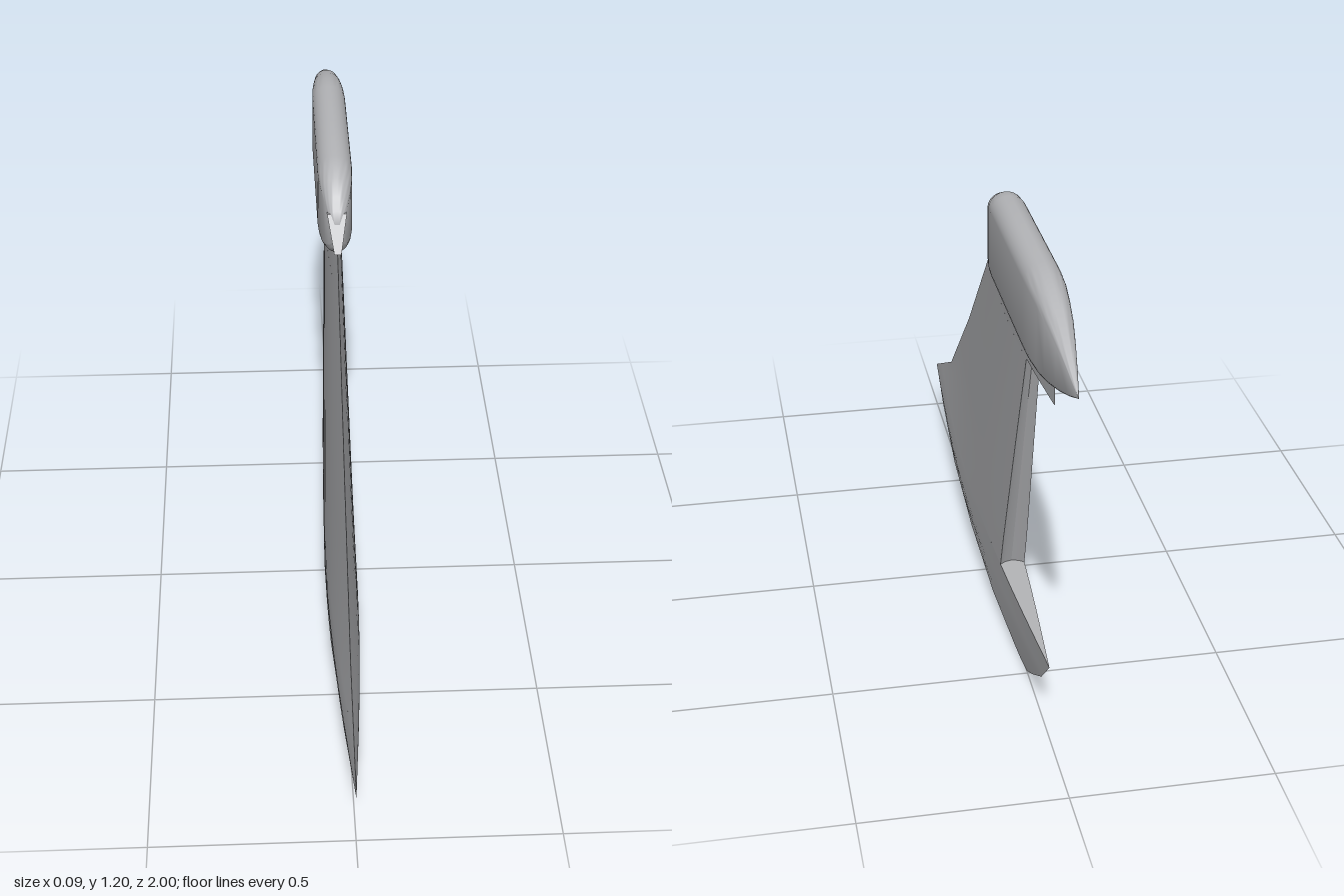
import * as THREE from 'three';
import { toCreasedNormals } from 'three/addons/utils/BufferGeometryUtils.js';

const gray = new THREE.MeshStandardMaterial({ color: 0xb4b5b8 });
gray.name = 'light gray paint';

// Piecewise-linear lookup in a list of [key, value]
function lookup(list, k) {
  if (k <= list[0][0]) return list[0][1];
  for (let i = 1; i < list.length; i++) {
    const [a, va] = list[i - 1], [b, vb] = list[i];
    if (k <= b) return va + (vb - va) * (k - a) / (b - a);
  }
  return list[list.length - 1][1];
}

// Skin closed rings of points and cap both ends
function loft(name, rings, crease) {
  const pos = [];
  const ab = new THREE.Vector3(), ac = new THREE.Vector3();
  const tri = (a, b, c) => {
    ab.subVectors(b, a);
    ac.subVectors(c, a);
    if (ab.cross(ac).length() > 1e-9) pos.push(...a, ...b, ...c);
  };
  const n = rings[0].length;
  for (let i = 0; i < rings.length - 1; i++) {
    for (let j = 0; j < n; j++) {
      const k = (j + 1) % n;
      const a = rings[i][j], b = rings[i][k], c = rings[i + 1][k], d = rings[i + 1][j];
      tri(a, b, c);
      tri(a, c, d);
    }
  }
  [rings[0], rings[rings.length - 1]].forEach((ring, end) => {
    const mid = new THREE.Vector3();
    ring.forEach(p => mid.addScaledVector(p, 1 / n));
    for (let j = 0; j < n; j++) {
      const k = (j + 1) % n;
      if (end) tri(mid, ring[j], ring[k]);
      else tri(mid, ring[k], ring[j]);
    }
  });
  const geo = new THREE.BufferGeometry();
  geo.setAttribute('position', new THREE.Float32BufferAttribute(pos, 3));
  const mesh = new THREE.Mesh(toCreasedNormals(geo, crease), gray);
  mesh.name = name;
  return mesh;
}

// Edges of the lens-shaped fin section by height, and its half thickness
const LEADING = [[0.145, 1], [0.3, 0.7], [0.6, 0.37], [1.04, -0.06]];
const TRAILING = [[0, -0.49], [0.045, -0.57], [0.11, -0.67], [0.2, -0.76], [0.915, -0.77]];
const HALF = [[0.15, 0.042], [0.95, 0.02]];

// Horizontal section cut between z0 and z1; a cut rear end gets a shallow groove
function finRing(y, z0 = lookup(LEADING, y), z1 = lookup(TRAILING, y)) {
  const lead = lookup(LEADING, y), trail = lookup(TRAILING, y), N = 14;
  const half = z => {
    const u = THREE.MathUtils.clamp((lead - z) / (lead - trail), 0, 1);
    return lookup(HALF, y) * Math.sin(Math.PI * u);
  };
  const left = [];
  for (let i = 0; i <= N; i++) {
    const z = z0 + (z1 - z0) * i / N;
    left.push(new THREE.Vector3(half(z), y, z));
  }
  const w = half(z1);
  const groove = [0.6, 0, -0.6].map(s => new THREE.Vector3(w * s, y, z1 + 0.5 * w * (1 - s * s)));
  const right = left.map(p => new THREE.Vector3(-p.x, p.y, p.z)).reverse();
  return [...left, ...groove, ...right];
}

// Upright stadium section of the fairing
function podRing([z, top, bottom, w]) {
  const mid = (top + bottom) / 2, h = (top - bottom) / 2, r = Math.min(w, h), N = 32;
  return Array.from({ length: N }, (_, i) => {
    const t = (i + 0.5) / N * Math.PI * 2, s = Math.sin(t);
    return new THREE.Vector3(w * Math.cos(t), mid + Math.sign(s) * (h - r) + r * s, z);
  });
}

export function createModel() {
  const model = new THREE.Group();
  model.name = 'tailFin';

  // Fin root with its curved underside and rear tip
  const root = [[0, -0.43], [0.01, -0.37], [0.04, -0.17], [0.085, 0.1], [0.11, 0.42], [0.13, 0.75], [0.145, 1], [0.2]];
  model.add(loft('finRoot', root.map(([y, z0]) => finRing(y, z0)), 0.5));

  // Main fin, cut away behind for the rudder
  const heights = [0.2, 0.3, 0.45, 0.6, 0.75, 0.915];
  const hinge = [[0.2, -0.29], [0.915, -0.53]];
  model.add(loft('mainFin', heights.map(y => finRing(y, undefined, lookup(hinge, y))), 0.5));

  // Fin tip with the short ledge above the rudder cutout
  model.add(loft('finTip', [finRing(0.915), finRing(1), finRing(1.04, undefined, -0.6)], 0.5));

  // Long fairing on the tip, from rear point to nose: z, top, bottom, half width
  const pod = [
    [-1, 1.055, 1.051, 0.001], [-0.94, 1.092, 1.025, 0.011], [-0.87, 1.13, 1.0, 0.022],
    [-0.8, 1.162, 0.98, 0.032], [-0.74, 1.182, 0.968, 0.038], [-0.68, 1.195, 0.962, 0.043],
    [-0.62, 1.2, 0.96, 0.045], [-0.4, 1.2, 0.96, 0.045], [-0.22, 1.2, 0.96, 0.045],
    [-0.18, 1.195, 0.962, 0.043], [-0.14, 1.178, 0.969, 0.038], [-0.1, 1.147, 0.985, 0.029],
    [-0.075, 1.118, 1.005, 0.02], [-0.06, 1.09, 1.03, 0.01],
  ];
  model.add(loft('tipFairing', pod.map(podRing), 0.7));

  // Small wedge on the fairing's nose
  const wedge = [[1.025, 0.009, -0.018], [1.11, 0.025, -0.075]].map(([y, w, z]) => [
    new THREE.Vector3(w, y, z), new THREE.Vector3(w, y, -0.12),
    new THREE.Vector3(-w, y, -0.12), new THREE.Vector3(-w, y, z),
  ]);
  model.add(loft('noseWedge', wedge, 0.3));

  return model;
}
